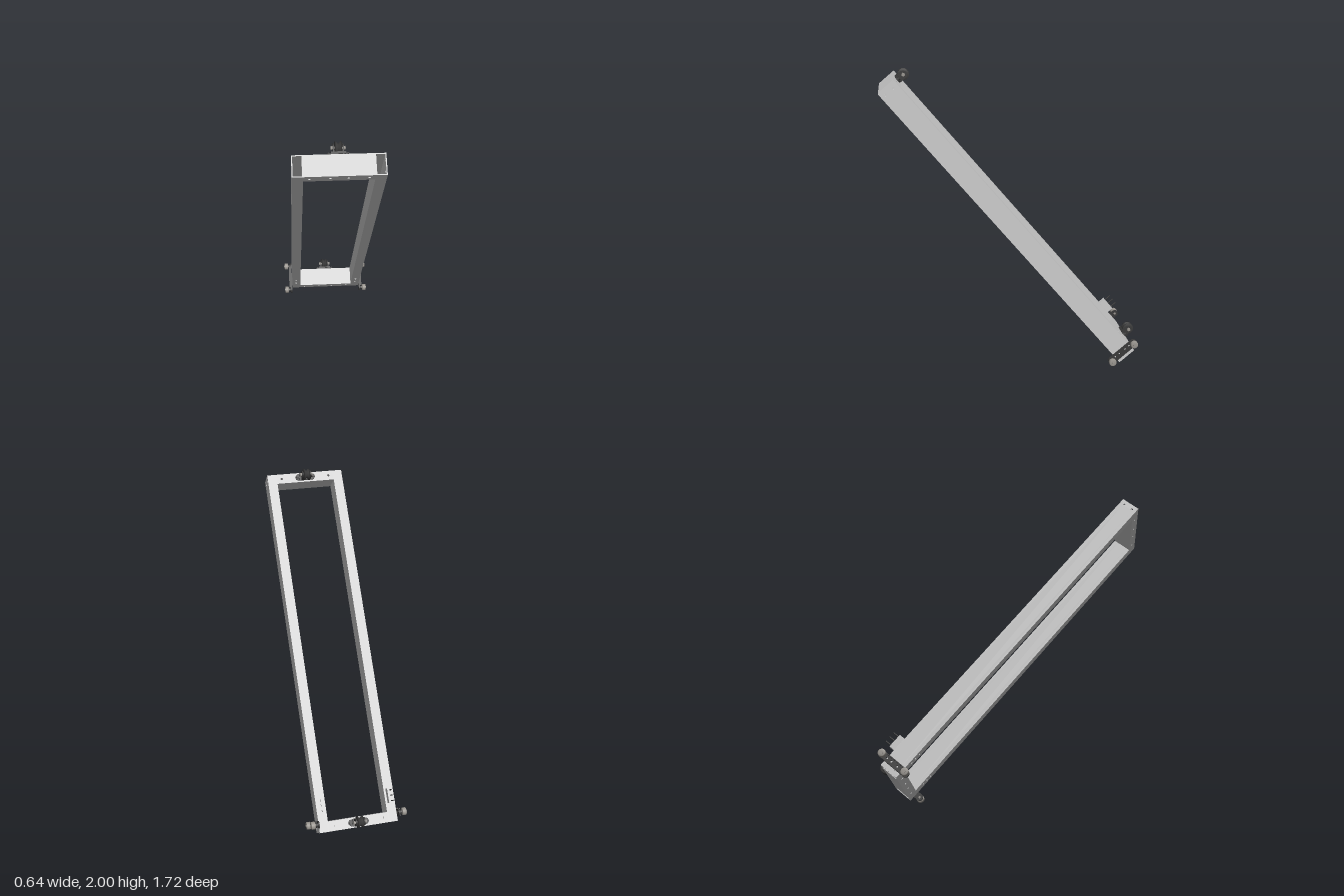
import * as THREE from 'three';

const LEN = 2.44, DEPTH = 0.13, W = 0.063, WALL = 0.006, OUTER = 0.262, RAIL = 0.066;
const grey = new THREE.MeshStandardMaterial({ color: 0xcccccc });
const dark = new THREE.MeshStandardMaterial({ color: 0x3a3a3a });
const steel = new THREE.MeshStandardMaterial({ color: 0x99958f });

function add(parent, name, geometry, material, x = 0, y = 0, z = 0) {
  const mesh = new THREE.Mesh(geometry, material);
  mesh.name = name;
  mesh.position.set(x, y, z);
  parent.add(mesh);
  return mesh;
}

// Cylinder lying along x
const rod = (r, l, n = 24) => new THREE.CylinderGeometry(r, r, l, n).rotateZ(Math.PI / 2);

// Extrusion centred on its own thickness, with round holes [x, y, r]
function drilled(shape, t, holes = []) {
  for (const [x, y, r = 0.008] of holes) {
    const hole = new THREE.Path();
    hole.absarc(x, y, r, 0, Math.PI * 2, true);
    shape.holes.push(hole);
  }
  const g = new THREE.ExtrudeGeometry(shape, { depth: t, bevelEnabled: false, curveSegments: 10 });
  return g.translate(0, 0, -t / 2);
}

function rect(x0, y0, x1, y1) {
  return new THREE.Shape([[x0, y0], [x1, y0], [x1, y1], [x0, y1]].map(p => new THREE.Vector2(...p)));
}

// Slot outline with round ends, running along x
function slot(x0, x1, r) {
  const s = new THREE.Shape();
  s.absarc(x1, 0, r, -Math.PI / 2, Math.PI / 2, false);
  s.absarc(x0, 0, r, Math.PI / 2, Math.PI * 1.5, false);
  s.closePath();
  return s;
}

// Long hollow beam, open at both ends; y runs along it, z across its depth
function sideBeam() {
  const g = new THREE.Group();
  const ends = [];
  for (const y of [0.0325, LEN - 0.0325]) for (const d of [0.033, 0.098]) ends.push([-d, y]);
  for (const s of [-1, 1]) {
    const wall = drilled(rect(-DEPTH, 0, 0, LEN), WALL, ends).rotateY(Math.PI / 2);
    add(g, 'beamSideWall', wall, grey, s * (W - WALL) / 2, 0, 0);
    const face = drilled(rect(-W / 2 + WALL, 0, W / 2 - WALL, LEN), WALL,
      [0.135, 0.17, 0.205].map(y => [0, y]));
    add(g, 'beamFace', face, grey, 0, 0, s > 0 ? DEPTH - WALL / 2 : WALL / 2);
  }
  return g;
}

// Hollow cross rail between the beams
function crossRail() {
  const g = new THREE.Group(), half = OUTER - W;
  for (const s of [0, 1]) {
    const face = drilled(rect(-half, 0, half, RAIL), WALL,
      [-0.165, -0.05, 0.05, 0.165].map(x => [x, RAIL / 2]));
    add(g, 'railFace', face, grey, 0, 0, s ? DEPTH - WALL / 2 : WALL / 2);
    add(g, 'railWall', new THREE.BoxGeometry(half * 2, WALL, DEPTH - 2 * WALL), grey,
      0, s ? RAIL - WALL / 2 : WALL / 2, DEPTH / 2);
  }
  return g;
}

// Grooved pulley held in a clevis on a bolted foot; it stands out along -z
function pulleyMount() {
  const g = new THREE.Group();
  add(g, 'pulleyFoot', drilled(slot(-0.045, 0.045, 0.022), 0.01), dark, 0, 0, -0.005);
  add(g, 'pulleyBlock', new THREE.BoxGeometry(0.085, 0.05, 0.012), dark, 0, 0, -0.014);
  for (const s of [-1, 1]) {
    const ear = drilled(slot(0.005, 0.05, 0.025), 0.008).rotateY(Math.PI / 2);
    add(g, 'pulleyEar', ear, dark, s * 0.027, 0, 0);
    add(g, 'axleNut', rod(0.012, 0.012, 6), steel, s * 0.036, 0, -0.05);
    add(g, 'footBolt', new THREE.CylinderGeometry(0.01, 0.01, 0.01, 6).rotateX(Math.PI / 2), dark, s * 0.053, 0, -0.014);
  }
  const profile = [[0.008, -0.02], [0.037, -0.02], [0.037, -0.012], [0.026, -0.003], [0.026, 0.003],
    [0.037, 0.012], [0.037, 0.02], [0.008, 0.02]].map(p => new THREE.Vector2(...p));
  const wheel = new THREE.LatheGeometry(profile, 32).rotateZ(Math.PI / 2);
  add(g, 'pulleyWheel', wheel, dark, 0, 0, -0.05);
  add(g, 'pulleyAxle', rod(0.008, 0.07), steel, 0, 0, -0.05);
  return g;
}

// Side bracket with a roller at each end; it stands out along +x
function rollerBracket() {
  const g = new THREE.Group();
  const holes = [-0.095, -0.06, -0.025, 0.025, 0.06, 0.095].map(x => [x, 0, 0.007]);
  holes.splice(0, 1);
  holes.pop();
  add(g, 'bracketPlate', drilled(slot(-0.095, 0.095, 0.023), 0.01, holes).rotateY(Math.PI / 2), dark, 0.006);
  for (const s of [-1, 1]) {
    // Stiffening lip along each long edge
    add(g, 'bracketLip', new THREE.BoxGeometry(0.014, 0.006, 0.17), dark, 0.016, s * 0.02, 0);
    add(g, 'rollerSpacer', rod(0.014, 0.014), dark, 0.017, 0, s * 0.095);
    add(g, 'rollerAxle', rod(0.008, 0.06), steel, 0.03, 0, s * 0.095);
    const profile = [[0.006, -0.014], [0.021, -0.014], [0.025, -0.01], [0.025, 0.01],
      [0.021, 0.014], [0.006, 0.014]].map(p => new THREE.Vector2(...p));
    add(g, 'roller', new THREE.LatheGeometry(profile, 28).rotateZ(Math.PI / 2), steel, 0.042, 0, s * 0.095);
  }
  return g;
}

// Small box with three prongs on the face of the right beam
function prongBox() {
  const g = new THREE.Group();
  add(g, 'prongHousing', new THREE.BoxGeometry(0.036, 0.095, 0.045), grey, 0, 0.17, -0.0225);
  for (const y of [0.135, 0.17, 0.205])
    add(g, 'prong', new THREE.CylinderGeometry(0.004, 0.004, 0.05, 12).rotateX(Math.PI / 2), dark, 0, y, -0.067);
  return g;
}

export function createModel() {
  const model = new THREE.Group();
  model.name = 'leaningFrame';
  const frame = new THREE.Group();
  frame.name = 'frame';
  // The whole frame leans forward by 40 degrees
  frame.position.set(0, 0.087, -0.81);
  frame.rotation.x = THREE.MathUtils.degToRad(40);
  model.add(frame);

  const put = (name, part, x, y, z) => {
    part.name = name;
    part.position.set(x, y, z);
    frame.add(part);
    return part;
  };

  for (const s of [-1, 1]) {
    const side = s > 0 ? 'left' : 'right';
    put(side + 'Beam', sideBeam(), s * (OUTER - W / 2), 0, 0);
    const bracket = put(side + 'RollerBracket', rollerBracket(), s * OUTER, 0.055, DEPTH / 2);
    if (s < 0) bracket.rotation.z = Math.PI;
  }
  for (const [name, y] of [['lower', 0], ['upper', LEN - RAIL]]) {
    put(name + 'Rail', crossRail(), 0, y, 0);
    put(name + 'Pulley', pulleyMount(), 0, y + RAIL / 2, 0);
  }
  put('prongBox', prongBox(), -(OUTER - W / 2), 0, 0);
  return model;
}
